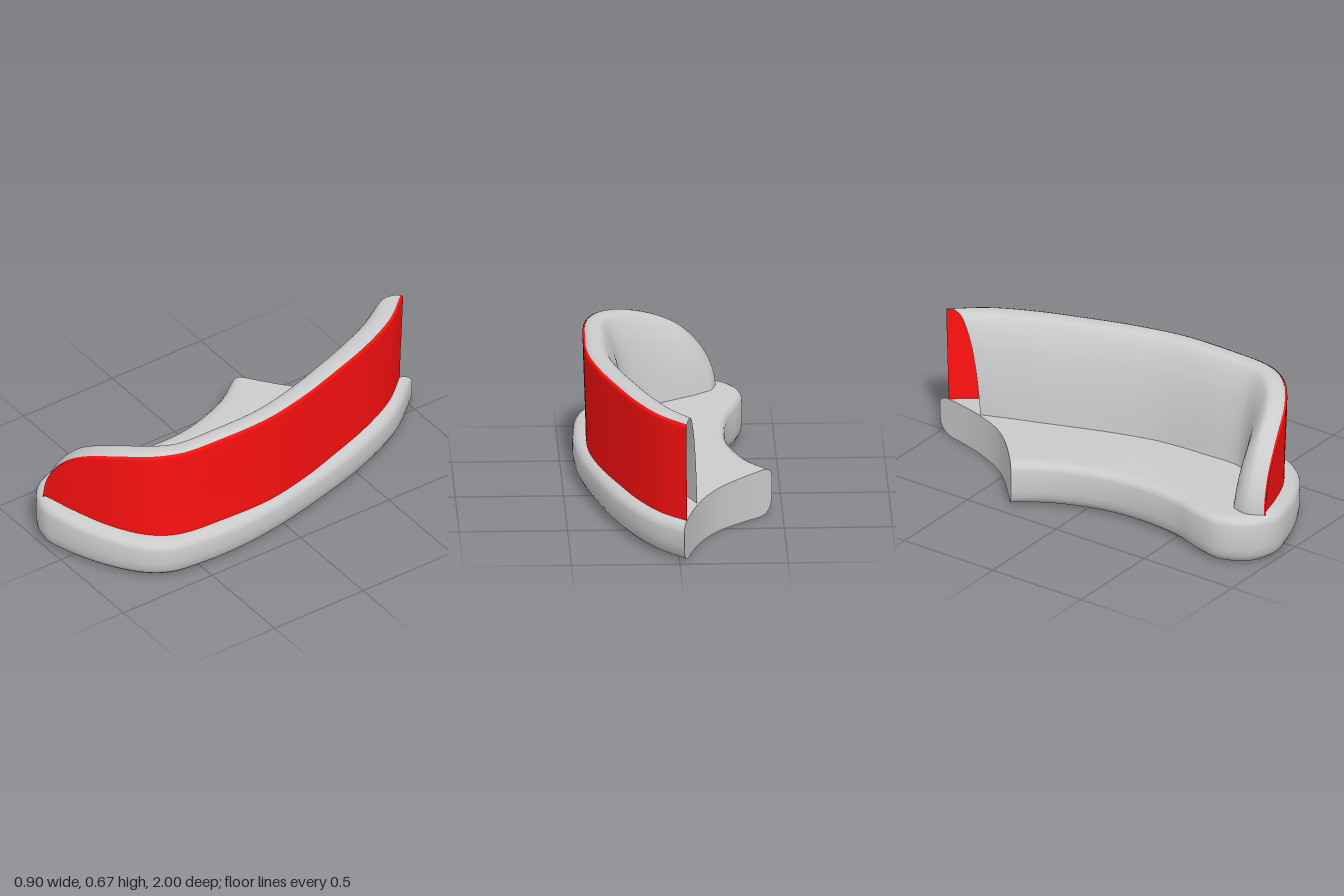
import * as THREE from 'three';
import { toCreasedNormals } from 'three/addons/utils/BufferGeometryUtils.js';

const grey = new THREE.MeshStandardMaterial({ color: 0xcccccc });
const greyShell = new THREE.MeshStandardMaterial({ color: 0xcccccc, side: THREE.DoubleSide });
const redShell = new THREE.MeshStandardMaterial({ color: 0xff1010, side: THREE.DoubleSide });

// Smooth plan curve from [x, z] pairs
const planCurve = (pts) =>
  new THREE.CatmullRomCurve3(pts.map(([x, z]) => new THREE.Vector3(x, 0, z)), false, 'centripetal');

// The seat is a gently tilted plane
const seatY = (x, z) => 0.2065 - 0.062 * x + 0.018 * z;

function buildGeometry(positions, indices) {
  const g = new THREE.BufferGeometry();
  g.setAttribute('position', new THREE.Float32BufferAttribute(positions, 3));
  g.setIndex(indices);
  return g;
}

// Base: rim runs from the rear tip round the front to the inner corner; cut closes the rear
function createBase() {
  const rim = planCurve([
    [-0.02, -1], [0.14, -0.8], [0.27, -0.51], [0.36, -0.2], [0.42, 0.08], [0.444, 0.3],
    [0.44, 0.5], [0.415, 0.66], [0.345, 0.77], [0.2, 0.88], [0, 0.97], [-0.15, 1],
    [-0.28, 0.94], [-0.35, 0.8], [-0.33, 0.67], [-0.28, 0.52], [-0.255, 0.33],
    [-0.26, 0.15], [-0.295, 0], [-0.36, -0.16], [-0.45, -0.29],
  ]);
  const cut = planCurve([[-0.45, -0.29], [-0.26, -0.46], [-0.17, -0.57], [-0.09, -0.74], [-0.02, -1]]);
  const n = 160, m = 24, count = n + m, cutLength = cut.getLength();

  // One closed ring, inset by d, whose ends slide along the cut
  function ring(d) {
    const u0 = d / cutLength, u1 = 1 - (1.2 * d) / cutLength;
    const inset = (t) => {
      const p = rim.getPointAt(t), q = rim.getTangentAt(t);
      return p.add(new THREE.Vector3(-q.z, 0, q.x).multiplyScalar(d));
    };
    const startFix = cut.getPointAt(u1).sub(inset(0));
    const endFix = cut.getPointAt(u0).sub(inset(1));
    const pts = [];
    for (let i = 0; i <= n; i++) {
      const t = i / n;
      pts.push(inset(t)
        .addScaledVector(startFix, Math.max(0, 1 - t / 0.06))
        .addScaledVector(endFix, Math.max(0, 1 - (1 - t) / 0.06)));
    }
    for (let i = 1; i < m; i++) pts.push(cut.getPointAt(u0 + ((u1 - u0) * i) / m));
    return pts;
  }

  // [inset, height, measured from the seat plane?]
  const layers = [
    [0.075, 0, 0], [0.052, 0.004, 0], [0.032, 0.013, 0], [0.016, 0.028, 0], [0.005, 0.05, 0],
    [0, 0.085, 0], [0, -0.04, 1], [0.004, -0.026, 1], [0.014, -0.013, 1], [0.03, -0.004, 1], [0.055, 0, 1],
  ];
  const rings = layers.map(([d]) => ring(d));
  const pos = [], idx = [];
  rings.forEach((pts, k) => pts.forEach((p) => {
    pos.push(p.x, layers[k][1] + (layers[k][2] ? seatY(p.x, p.z) : 0), p.z);
  }));
  for (let k = 0; k < layers.length - 1; k++) {
    for (let j = 0; j < count; j++) {
      const a = k * count + j, b = k * count + ((j + 1) % count);
      idx.push(a, a + count, b, b, a + count, b + count);
    }
  }
  // Seat surface and underside
  for (const [k, up] of [[0, -1], [layers.length - 1, 1]]) {
    const r = rings[k], o = k * count;
    const faces = THREE.ShapeUtils.triangulateShape(r.map((p) => new THREE.Vector2(p.x, p.z)), []);
    for (const [a, b, c] of faces) {
      const ny = (r[b].z - r[a].z) * (r[c].x - r[a].x) - (r[b].x - r[a].x) * (r[c].z - r[a].z);
      if (ny * up > 0) idx.push(o + a, o + b, o + c);
      else idx.push(o + a, o + c, o + b);
    }
  }
  return toCreasedNormals(buildGeometry(pos, idx), 0.7);
}

// Backrest plan: outer foot line and inner foot line, matched station by station from the front
const outerFoot = [
  [-0.19, 0.955], [-0.02, 0.9], [0.16, 0.82], [0.3, 0.71], [0.365, 0.59], [0.385, 0.35],
  [0.38, 0.1], [0.335, -0.13], [0.265, -0.36], [0.18, -0.6], [0.08, -0.8], [-0.035, -0.94],
];
const innerFoot = [
  [-0.21, 0.8], [-0.13, 0.75], [0, 0.69], [0.1, 0.635], [0.18, 0.55], [0.19, 0.35],
  [0.18, 0.1], [0.135, -0.09], [0.075, -0.27], [0.01, -0.45], [-0.04, -0.59], [-0.09, -0.72],
];
const outerCurve = planCurve(outerFoot), innerCurve = planCurve(innerFoot);
const last = outerFoot.length - 1;

// Point on the back at station s, w across (0 outer, 1 inner) and v up (0 seat, 1 top)
function backPoint(s, w, v) {
  const p = outerCurve.getPoint(s / last).lerpVectors(
    outerCurve.getPoint(s / last), innerCurve.getPoint(s / last), w);
  const bulge = 0.032 * Math.sin(Math.PI * Math.max(0, w)) * Math.exp(-s / 0.5);
  p.x -= bulge;
  p.z += bulge * 0.3;
  const u = Math.min(1, s / 4);
  const rise = Math.sqrt(1 - Math.pow(1 - u, 2.5));
  const foot = seatY(p.x, p.z);
  p.y = foot - 0.003 + (0.673 - foot) * rise * v;
  return p;
}

// Sweep a [w, v] profile between two stations
function sweep(profile, s0, s1) {
  const path = new THREE.SplineCurve(profile.map(([w, v]) => new THREE.Vector2(w, v)));
  const ni = 40, nj = 36, pos = [], idx = [];
  for (let i = 0; i <= ni; i++) {
    const t = i / ni;
    const s = s0 + (s1 - s0) * (s0 === 0 ? t * t : t); // finer steps at the rounded front
    for (let j = 0; j <= nj; j++) {
      const q = path.getPoint(j / nj);
      pos.push(...backPoint(s, q.x, q.y).toArray());
      if (i < ni && j < nj) {
        const a = i * (nj + 1) + j, b = a + nj + 1;
        idx.push(a, b, a + 1, b, b + 1, a + 1);
      }
    }
  }
  const g = buildGeometry(pos, idx);
  g.computeVertexNormals();
  return g;
}

export function createModel() {
  const model = new THREE.Group();
  const add = (name, geometry, material) => {
    const mesh = new THREE.Mesh(geometry, material);
    mesh.name = name;
    model.add(mesh);
  };

  add('seatBase', createBase(), grey);

  const panel = [[0, 0], [-0.02, 0.3], [-0.05, 0.65], [-0.07, 0.92], [-0.06, 0.965], [-0.02, 0.98]];
  const cushion = [
    [-0.02, 0.975], [0.03, 0.99], [0.12, 1], [0.28, 0.998], [0.4, 0.975], [0.5, 0.92],
    [0.62, 0.82], [0.74, 0.68], [0.86, 0.46], [0.94, 0.24], [1, 0],
  ];
  // Three upholstered sections, front to rear
  [['front', 0, 4], ['middle', 4, 7], ['rear', 7, last]].forEach(([name, s0, s1]) => {
    add(name + 'BackPanel', sweep(panel, s0, s1), redShell);
    add(name + 'BackCushion', sweep(cushion, s0, s1), greyShell);
  });
  return model;
}
